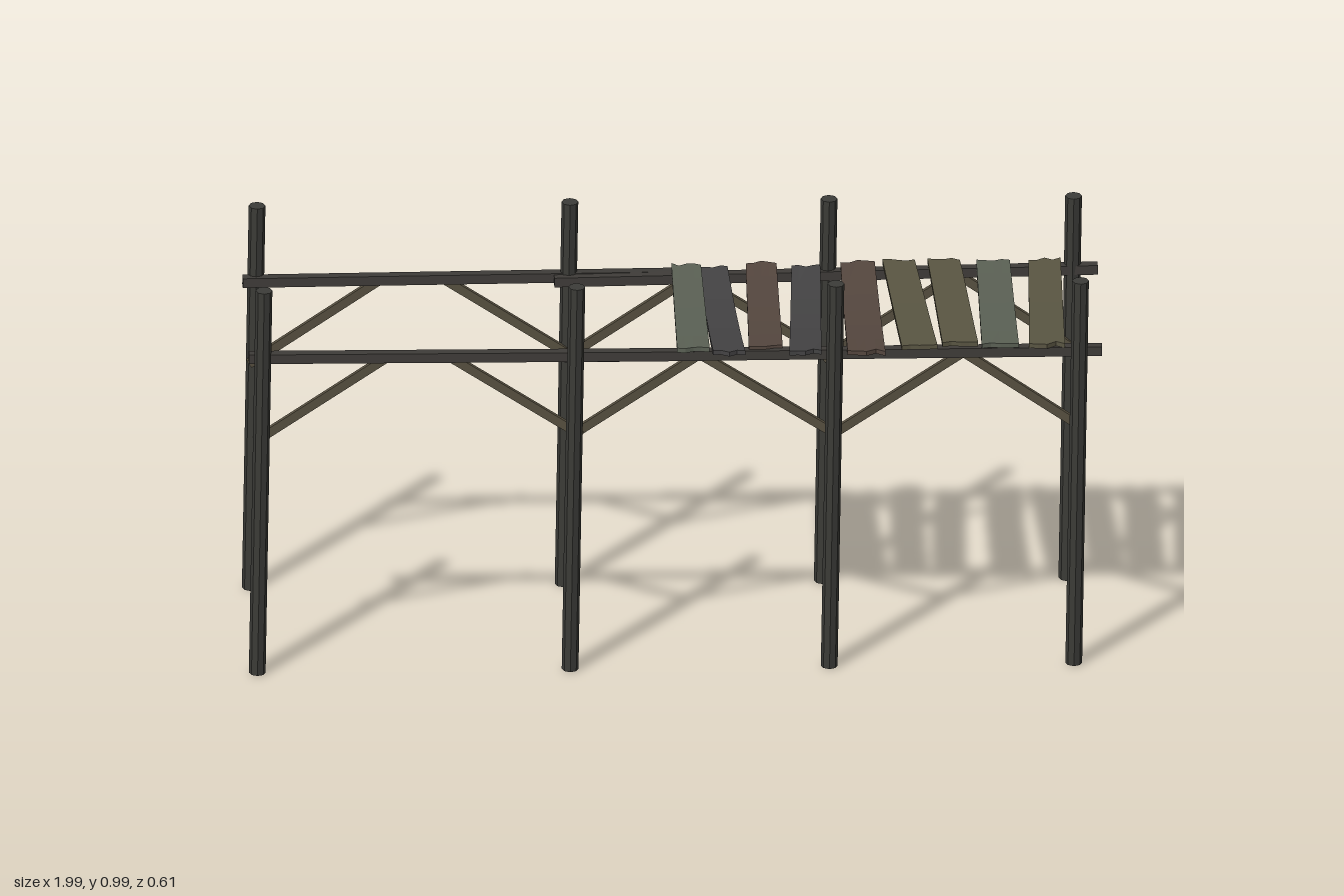
import * as THREE from 'three';

const mat = (color) => new THREE.MeshStandardMaterial({ color, flatShading: true });
const postMat = mat(0x3c3c38), railMat = mat(0x3f3c39), braceMat = mat(0x575040);
const plankMats = { moss: mat(0x5b6155), slate: mat(0x444344), brown: mat(0x55473f), olive: mat(0x5a5643) };

// small repeatable pseudo-random generator
let seed = 7;
const rand = () => (seed = (seed * 16807) % 2147483647) / 2147483647;

// square timber from point a to point b
function beam(name, a, b, height, width, material) {
  const from = new THREE.Vector3(...a), to = new THREE.Vector3(...b);
  const mesh = new THREE.Mesh(new THREE.BoxGeometry(width, height, from.distanceTo(to)), material);
  mesh.position.copy(from).add(to).multiplyScalar(0.5);
  mesh.lookAt(to);
  mesh.name = name;
  return mesh;
}

// leaning eight-sided log post
function post(x, z) {
  const from = new THREE.Vector3(x, 0, z), to = new THREE.Vector3(x + 0.014, 0.99, z + 0.057);
  const dir = to.clone().sub(from);
  const mesh = new THREE.Mesh(new THREE.CylinderGeometry(0.0195, 0.0195, 0.988, 8), postMat);
  mesh.position.copy(from).add(to).multiplyScalar(0.5);
  mesh.quaternion.setFromUnitVectors(new THREE.Vector3(0, 1, 0), dir.normalize());
  mesh.name = 'post';
  return mesh;
}

// sagging plank with ragged ends, running from back to front
function plank({ back, front, width, z0, z1, y, sag, color }) {
  const cols = 4;
  const geo = new THREE.BoxGeometry(1, 0.011, 1, cols, 1, 6);
  const ragged = [0, 1].map(() => Array.from({ length: cols + 1 }, () => rand() * 0.018));
  const pos = geo.attributes.position;
  for (let i = 0; i < pos.count; i++) {
    const u = pos.getX(i), t = pos.getZ(i) + 0.5;
    const col = Math.round((u + 0.5) * cols);
    let z = THREE.MathUtils.lerp(z0, z1, t);
    if (t < 0.01) z += ragged[0][col];
    if (t > 0.99) z -= ragged[1][col];
    const x = THREE.MathUtils.lerp(back, front, t) + u * width * (0.94 + 0.1 * t);
    pos.setXYZ(i, x, pos.getY(i) + y - sag * Math.sin(Math.PI * t), z);
  }
  geo.computeVertexNormals();
  const mesh = new THREE.Mesh(geo, plankMats[color]);
  mesh.name = 'plank';
  return mesh;
}

export function createModel() {
  const model = new THREE.Group();
  model.name = 'woodenPier';

  // two rows of posts
  const posts = new THREE.Group();
  posts.name = 'posts';
  for (const x of [-0.975, -0.247, 0.356, 0.925]) posts.add(post(x, 0.229), post(x, -0.283));
  model.add(posts);

  // overlapping rails along both sides
  const rails = new THREE.Group();
  rails.name = 'rails';
  rails.add(
    beam('frontRail', [-0.995, 0.803, 0.246], [0.05, 0.793, 0.236], 0.023, 0.025, railMat),
    beam('frontRail', [-0.26, 0.792, 0.232], [0.99, 0.799, 0.25], 0.023, 0.025, railMat),
    beam('backRail', [-0.995, 0.801, -0.218], [0.06, 0.795, -0.244], 0.023, 0.025, railMat),
    beam('backRail', [-0.27, 0.794, -0.215], [0.995, 0.802, -0.233], 0.023, 0.025, railMat),
  );
  model.add(rails);

  // diagonal braces: foot on the post, head under the rail
  const braces = new THREE.Group();
  braces.name = 'braces';
  const braceLines = [
    [-0.98, 0.59, -0.67, 0.79],
    [-0.22, 0.595, -0.53, 0.79],
    [-0.245, 0.595, 0.06, 0.79],
    [0.38, 0.585, 0.05, 0.79],
    [0.355, 0.585, 0.67, 0.785],
    [0.945, 0.6, 0.66, 0.79],
  ];
  for (const [x0, y0, x1, y1] of braceLines) {
    braces.add(
      beam('frontBrace', [x0, y0, 0.24], [x1, y1, 0.218], 0.021, 0.012, braceMat),
      beam('backBrace', [x0, y0, -0.226], [x1, y1, -0.252], 0.021, 0.012, braceMat),
    );
  }
  model.add(braces);

  // uneven deck planks over one half: back x, front x, width, z range, height, sag
  const deck = new THREE.Group();
  deck.name = 'deck';
  const rows = [
    [0.038, 0.039, 0.073, -0.25, 0.272, 0.815, 0.004, 'moss'],
    [0.1, 0.122, 0.072, -0.245, 0.282, 0.811, 0.013, 'slate'],
    [0.213, 0.208, 0.076, -0.276, 0.252, 0.808, 0.006, 'brown'],
    [0.317, 0.299, 0.072, -0.246, 0.283, 0.81, 0.015, 'slate'],
    [0.437, 0.441, 0.085, -0.258, 0.297, 0.814, 0.012, 'brown'],
    [0.532, 0.565, 0.08, -0.252, 0.28, 0.82, 0.002, 'olive'],
    [0.637, 0.66, 0.08, -0.25, 0.272, 0.821, 0, 'olive'],
    [0.752, 0.753, 0.083, -0.25, 0.272, 0.818, 0.004, 'moss'],
    [0.872, 0.862, 0.08, -0.255, 0.27, 0.816, 0.002, 'olive'],
  ];
  for (const [back, front, width, z0, z1, y, sag, color] of rows) {
    deck.add(plank({ back, front, width, z0, z1, y, sag, color }));
  }
  model.add(deck);
  return model;
}
